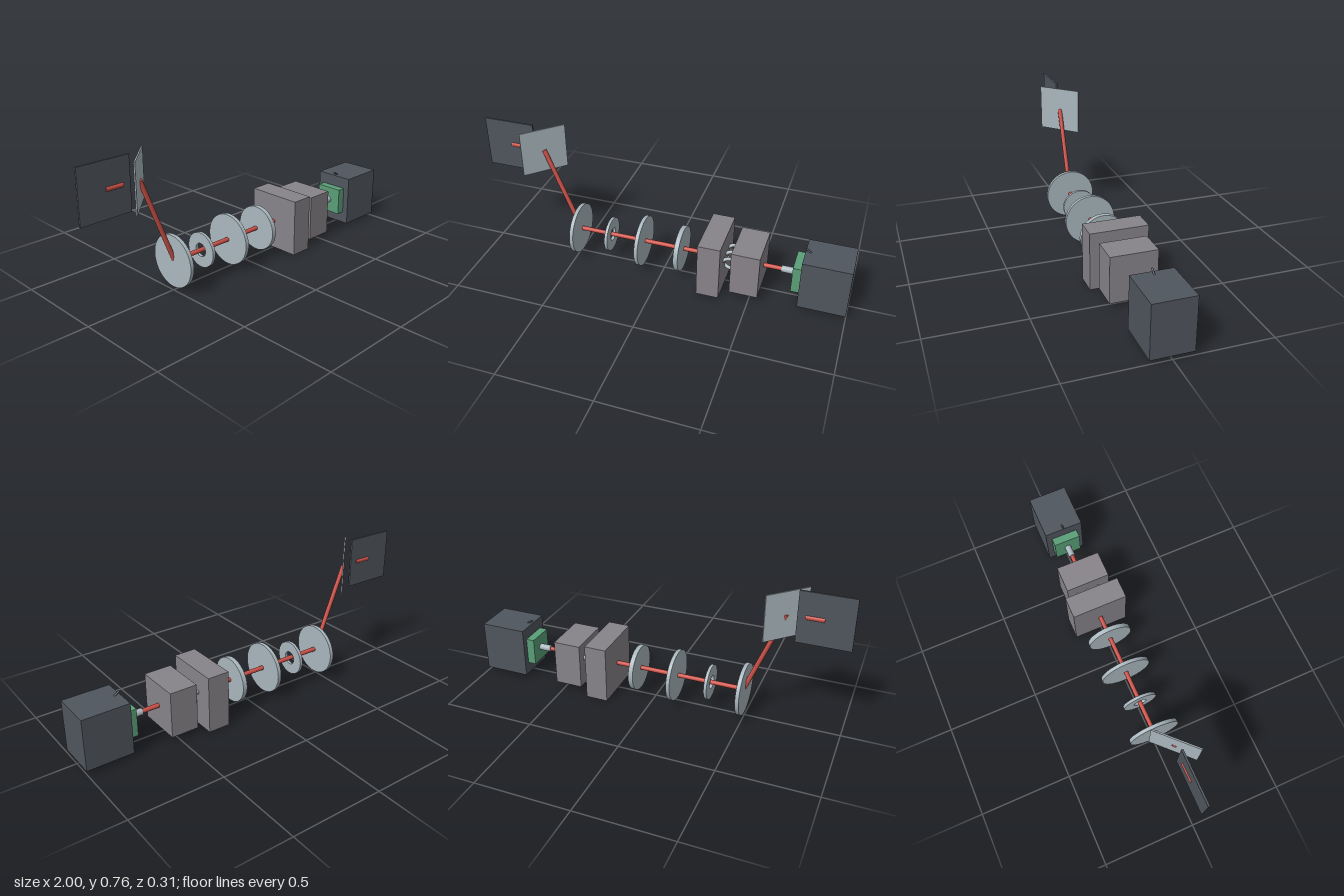
import * as THREE from 'three';

const mat = (name, color) => {
  const m = new THREE.MeshStandardMaterial({ color });
  m.name = name;
  return m;
};

export function createModel() {
  const group = new THREE.Group();
  const dark = mat('dark slate', 0x50565e);
  const grey = mat('warm grey', 0x88848a);
  const glass = mat('pale blue grey', 0xaab8bf);
  const red = mat('beam red', 0xcc5148);
  const green = mat('board green', 0x5a9f78);
  const axisY = 0.157;

  const add = (name, geometry, material, x, y, z = 0) => {
    const mesh = new THREE.Mesh(geometry, material);
    mesh.name = name;
    mesh.position.set(x, y, z);
    group.add(mesh);
    return mesh;
  };
  const box = (name, material, x0, x1, y0, y1, depth) =>
    add(name, new THREE.BoxGeometry(x1 - x0, y1 - y0, depth), material, (x0 + x1) / 2, (y0 + y1) / 2);
  // round rod between two points in the z = 0 plane
  const rod = (name, material, a, b, r, sides = 24) => {
    const dx = b[0] - a[0], dy = b[1] - a[1];
    const mesh = add(name, new THREE.CylinderGeometry(r, r, Math.hypot(dx, dy), sides), material,
      (a[0] + b[0]) / 2, (a[1] + b[1]) / 2);
    mesh.rotation.z = Math.atan2(dy, dx) - Math.PI / 2;
    return mesh;
  };

  // light source: housing, switch, board and nozzle
  box('sourceHousing', dark, 0.75, 1, 0.018, 0.296, 0.216);
  rod('switchLever', dark, [0.75, 0.313], [0.785, 0.288], 0.005, 12);
  box('circuitBoard', green, 0.705, 0.75, 0.082, 0.232, 0.15);
  rod('nozzle', glass, [0.64, axisY], [0.705, axisY], 0.018);

  // two mounting blocks with a coil pressed between them
  box('tallBlock', grey, 0.225, 0.345, 0, 0.31, 0.308);
  box('shortBlock', grey, 0.395, 0.545, 0.031, 0.28, 0.246);
  const turns = 2.5, points = [];
  for (let i = 0; i <= 60; i++) {
    const t = i / 60, a = t * turns * Math.PI * 2;
    points.push(new THREE.Vector3(0.04 * Math.cos(a), 0.04 * Math.sin(a), (t - 0.5) * 0.155));
  }
  add('coil', new THREE.TubeGeometry(new THREE.CatmullRomCurve3(points), 120, 0.01, 10), glass, 0.37, axisY);

  // lenses along the beam: x, radius, thickness
  [[-0.49, 0.138, 0.02], [-0.118, 0.138, 0.02], [0.098, 0.123, 0.025]].forEach(([x, r, t], i) =>
    rod('lens' + (i + 1), glass, [x - t / 2, axisY], [x + t / 2, axisY], r, 64));

  // aperture ring
  const ring = new THREE.Shape().absarc(0, 0, 0.093, 0, Math.PI * 2);
  ring.holes.push(new THREE.Path().absarc(0, 0, 0.036, 0, Math.PI * 2, true));
  const ringGeo = new THREE.ExtrudeGeometry(ring, { depth: 0.016, bevelEnabled: false, curveSegments: 32 });
  ringGeo.translate(0, 0, -0.008);
  add('apertureRing', ringGeo, glass, -0.307, axisY).rotation.y = Math.PI / 2;

  // beam path
  rod('mainBeam', red, [-0.49, axisY], [0.25, axisY], 0.012);
  rod('sourceBeam', red, [0.53, axisY], [0.65, axisY], 0.012);
  rod('risingBeam', red, [-0.487, axisY], [-0.672, 0.622], 0.012);
  rod('screenBeam', red, [-0.858, 0.625], [-0.765, 0.625], 0.012);

  // angled mirror and target screen
  const mirror = add('mirror', new THREE.BoxGeometry(0.247, 0.248, 0.007), glass, -0.673, 0.621);
  mirror.rotation.y = Math.PI / 4;
  box('screen', dark, -1, -0.725, 0.485, 0.76, 0.01);

  return group;
}
